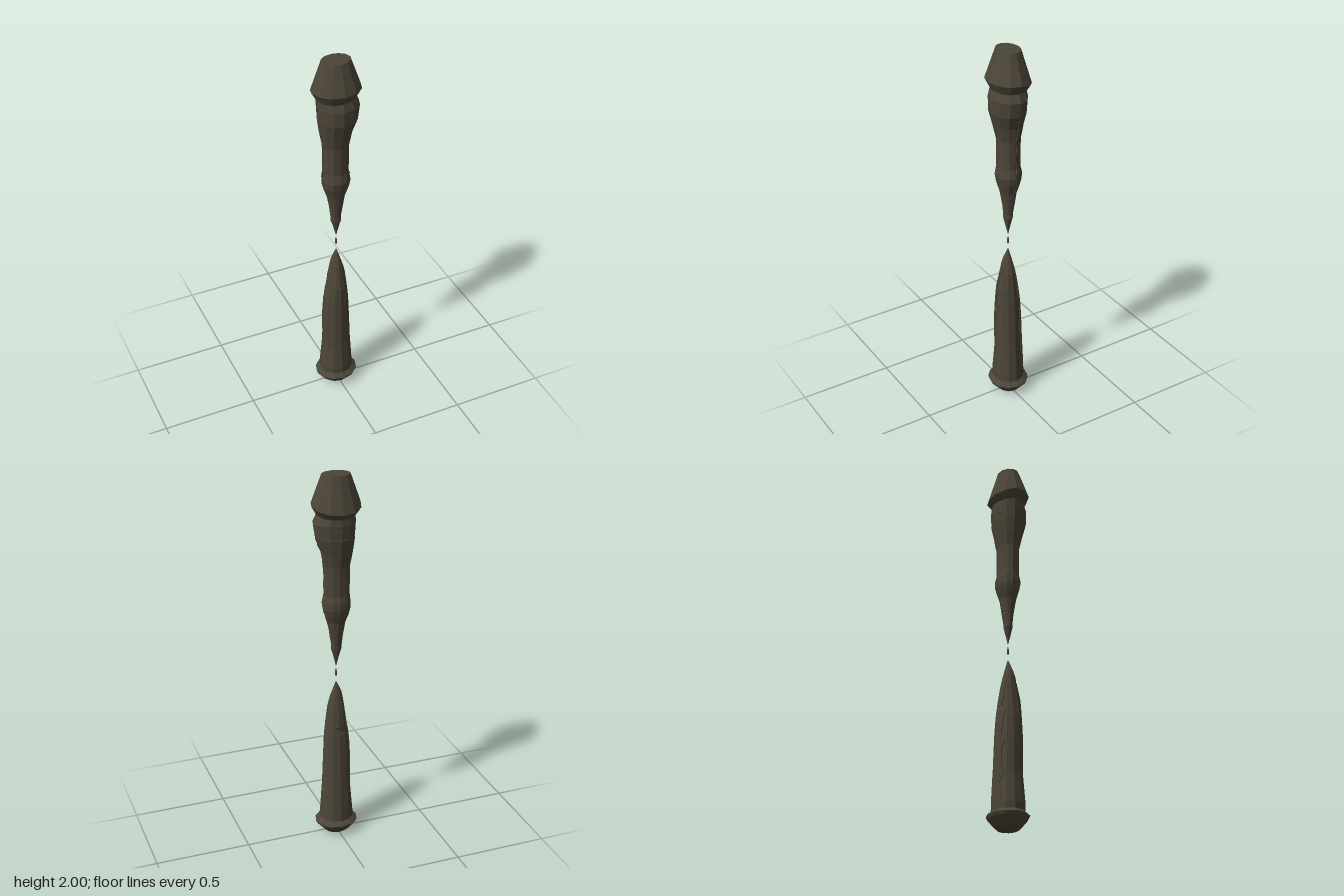
import * as THREE from 'three';

const SIDES = 12;
const stone = new THREE.MeshStandardMaterial({ color: 0x4c4538, flatShading: true, side: THREE.DoubleSide });

// Rings: [y, reach to +x, reach to -x, reach to +z, reach to -z, droop at the back]
const UPPER = [
  [2.0, 0.074, 0.074, 0.058, 0.058],
  [1.85, 0.128, 0.128, 0.11, 0.11, 0.03],
  [1.80, 0.1, 0.1, 0.085, 0.085, 0.01],
  [1.76, 0.12, 0.1, 0.098, 0.088],
  [1.68, 0.108, 0.094, 0.097, 0.084],
  [1.61, 0.08, 0.083, 0.077, 0.07],
  [1.53, 0.066, 0.067, 0.058, 0.055],
  [1.38, 0.065, 0.067, 0.056, 0.053],
  [1.33, 0.075, 0.072, 0.066, 0.065],
  [1.29, 0.068, 0.069, 0.058, 0.058],
  [1.23, 0.045, 0.045, 0.042, 0.038],
  [1.15, 0.034, 0.033, 0.028, 0.03],
  [1.10, 0.025, 0.03, 0.023, 0.024],
  [1.08, 0.028, 0.03, 0.024, 0.023],
  [1.05, 0.018, 0.019, 0.018, 0.017],
  [0.98, 0.001, 0.001, 0.001, 0.001],
];
const LOWER = [
  [0.89, 0.002, 0.002, 0.002, 0.002],
  [0.83, 0.022, 0.03, 0.026, 0.018],
  [0.80, 0.032, 0.036, 0.037, 0.024],
  [0.75, 0.046, 0.042, 0.044, 0.034],
  [0.66, 0.056, 0.052, 0.061, 0.046],
  [0.58, 0.065, 0.066, 0.064, 0.056],
  [0.48, 0.069, 0.072, 0.069, 0.063],
  [0.30, 0.077, 0.076, 0.071, 0.069],
  [0.12, 0.088, 0.092, 0.085, 0.083],
  [0.085, 0.088, 0.09, 0.084, 0.083],
  [0.065, 0.115, 0.115, 0.107, 0.107],
  [0.05, 0.108, 0.108, 0.1, 0.1],
  [0.015, 0.076, 0.076, 0.07, 0.07],
  [0, 0.06, 0.06, 0.054, 0.054],
];
const DROP = [
  [0.965, 0.001, 0.001, 0.001, 0.001],
  [0.945, 0.006, 0.006, 0.006, 0.006],
  [0.932, 0.006, 0.006, 0.006, 0.006],
  [0.92, 0.001, 0.001, 0.001, 0.001],
];

function corner(ring, index) {
  const a = (index / SIDES) * Math.PI * 2;
  const c = Math.cos(a), s = Math.sin(a);
  return new THREE.Vector3(
    c * (c > 0 ? ring[1] : ring[2]),
    ring[0] - (ring[5] || 0) * Math.max(0, -s),
    s * (s > 0 ? ring[3] : ring[4]));
}

// Joins rows of points, running top to bottom, into a faceted skin
function skin(rows, closed, name) {
  const pos = [], index = [];
  const n = rows[0].length;
  rows.forEach(row => row.forEach(p => pos.push(p.x, p.y, p.z)));
  for (let r = 0; r < rows.length - 1; r++) {
    for (let i = 0; i < (closed ? n : n - 1); i++) {
      const j = (i + 1) % n;
      const a = r * n + i, b = r * n + j, c = a + n, d = b + n;
      index.push(a, b, c, b, d, c);
    }
  }
  if (closed) {
    const last = (rows.length - 1) * n;
    for (let i = 1; i < n - 1; i++) {
      index.push(0, i + 1, i, last, last + i, last + i + 1);
    }
  }
  const g = new THREE.BufferGeometry();
  g.setAttribute('position', new THREE.Float32BufferAttribute(pos, 3));
  g.setIndex(index);
  const flat = g.toNonIndexed();
  flat.computeVertexNormals();
  const mesh = new THREE.Mesh(flat, stone);
  mesh.name = name;
  return mesh;
}

function body(rings, name) {
  const rows = rings.map(r => Array.from({ length: SIDES }, (_, i) => corner(r, i)));
  return skin(rows, true, name);
}

// Point on the faceted body at a given height and angle in degrees
function onBody(rings, y, deg) {
  let k = 0;
  while (k < rings.length - 2 && rings[k + 1][0] > y) k++;
  const t = (rings[k][0] - y) / (rings[k][0] - rings[k + 1][0]);
  const ring = [0, 1, 2, 3, 4].map(i => THREE.MathUtils.lerp(rings[k][i], rings[k + 1][i], t));
  const u = deg / 360 * SIDES, i = Math.floor(u);
  return corner(ring, i).lerp(corner(ring, i + 1), u - i);
}

// Thin mineral sheet over the body, with a jagged crack along each edge
function sheet(rings, top, bottom, from, to, thick, name) {
  const rows = [], steps = 18;
  for (let r = 0; r <= steps; r++) {
    const t = r / steps, y = THREE.MathUtils.lerp(top, bottom, t);
    const jag = (r % 2 ? 5 : -5) + 7 * Math.sin(r * 1.7);
    const a = from + jag, b = to + 6 * Math.sin(r * 2.3 + 1);
    const row = [], first = Math.ceil((a + 4) / 30), last = Math.floor((b - 4) / 30);
    const count = Math.round((to - from) / 30) + 1;
    const angles = [a, a + 1];
    for (let i = 0; i < count; i++) {
      angles.push(THREE.MathUtils.clamp((first + i) * 30, a + 1, Math.min(b - 1, Math.max(last * 30, a + 1))));
    }
    angles.push(b - 1, b);
    angles.forEach((deg, i) => {
      const p = onBody(rings, y, deg);
      const edge = i === 0 || i === angles.length - 1;
      const lift = edge || r === 0 || r === steps ? -0.002 : thick * Math.min(1, 4 * t, 4 * (1 - t));
      const len = Math.hypot(p.x, p.z) || 1;
      p.x *= 1 + lift / len;
      p.z *= 1 + lift / len;
      row.push(p);
    });
    rows.push(row);
  }
  return skin(rows, false, name);
}

export function createModel() {
  const model = new THREE.Group();
  model.name = 'dripstone';

  // Hanging half
  const hanging = new THREE.Group();
  hanging.name = 'stalactite';
  hanging.add(
    body(UPPER, 'stalactiteBody'),
    sheet(UPPER, 1.76, 1.08, -165, -5, 0.005, 'stalactiteBackSheet'));

  // Standing half
  const standing = new THREE.Group();
  standing.name = 'stalagmite';
  standing.add(
    body(LOWER, 'stalagmiteBody'),
    sheet(LOWER, 0.85, 0.1, -132, -38, 0.005, 'stalagmiteBackSheet'),
    sheet(LOWER, 0.82, 0.25, 105, 205, 0.005, 'stalagmiteSideSheet'));

  // Falling drop between the tips
  model.add(hanging, standing, body(DROP, 'waterDrop'));
  return model;
}
